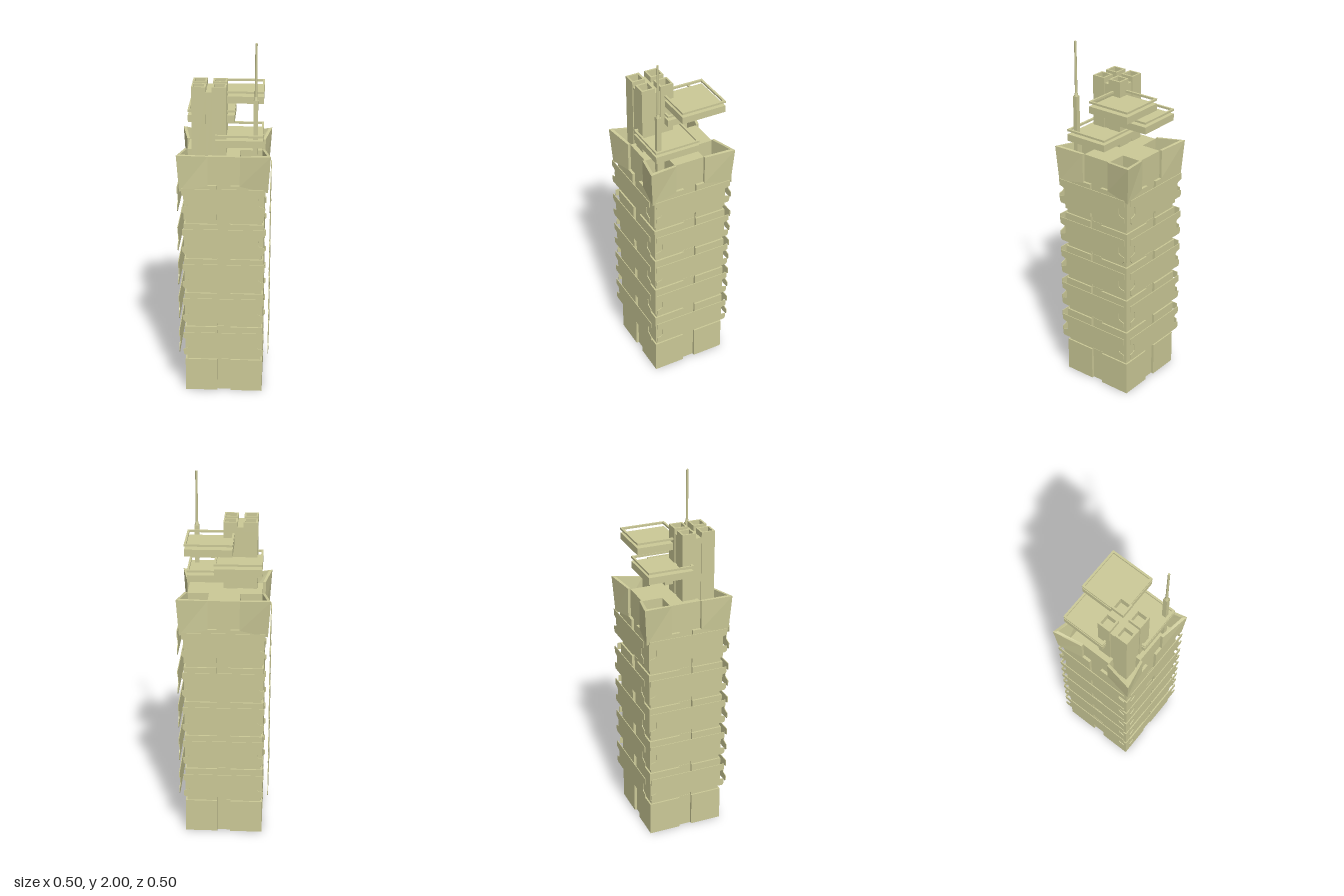
import * as THREE from 'three';

const khaki = new THREE.MeshStandardMaterial({ color: 0xcbc997 });
khaki.name = 'khaki';

function add(parent, name, geometry, x = 0, y = 0, z = 0) {
  const mesh = new THREE.Mesh(geometry, khaki);
  mesh.name = name;
  mesh.position.set(x, y, z);
  parent.add(mesh);
  return mesh;
}

// Box given by its lower and upper corners
function block(parent, name, x0, x1, y0, y1, z0, z1) {
  return add(parent, name, new THREE.BoxGeometry(x1 - x0, y1 - y0, z1 - z0),
    (x0 + x1) / 2, (y0 + y1) / 2, (z0 + z1) / 2);
}

const shapeOf = pts => new THREE.Shape(pts.map(p => new THREE.Vector2(...p)));

// Flat outline raised to height h, standing on y = 0
function raise(shape, h) {
  return new THREE.ExtrudeGeometry(shape, { depth: h, bevelEnabled: false }).rotateX(-Math.PI / 2);
}

// Rectangular ring of wall thickness t
function frame(w, d, h, t) {
  const rect = (a, b) => [[-a, -b], [a, -b], [a, b], [-a, b]];
  const s = shapeOf(rect(w / 2, d / 2));
  s.holes.push(shapeOf(rect(w / 2 - t, d / 2 - t)));
  return raise(s, h);
}

// Square plan with a shallow slot in the middle of each side
function slottedSquare(r, slotHalf, slotFloor) {
  const side = [[-r, -r], [-slotHalf, -r], [-slotHalf, -slotFloor], [slotHalf, -slotFloor], [slotHalf, -r]];
  const pts = [];
  for (let k = 0; k < 4; k++) {
    for (let [x, y] of side) {
      for (let i = 0; i < k; i++) [x, y] = [-y, x];
      pts.push([x, y]);
    }
  }
  return shapeOf(pts);
}

// Cladding plate with a tapered notch in both ends
function panelGeometry() {
  const w = 0.222, n = 0.187, h = 0.07;
  const right = [[w - 0.008, -h], [w, -h + 0.01], [w, -0.034], [n + 0.008, -0.026], [n, -0.018],
    [n, 0.018], [n + 0.008, 0.026], [w, 0.034], [w, h]];
  const left = right.map(([x, y]) => [-x, y]).reverse();
  return new THREE.ExtrudeGeometry(shapeOf([...right, ...left]), { depth: 0.004, bevelEnabled: false });
}

// Flared L-shaped parapet: sections of outer bottom, outer top, inner top, inner bottom
function cornerGeometry() {
  const sections = [
    [[0.085, 1.24, 0.215], [0.085, 1.405, 0.215], [0.085, 1.405, 0.2], [0.085, 1.24, 0.2]],
    [[0.235, 1.215, 0.235], [0.248, 1.42, 0.248], [0.228, 1.42, 0.228], [0.205, 1.215, 0.205]],
    [[0.215, 1.24, 0.085], [0.215, 1.405, 0.085], [0.2, 1.405, 0.085], [0.2, 1.24, 0.085]],
  ];
  const pos = [];
  const quad = (a, b, c, d) => pos.push(...a, ...b, ...c, ...a, ...c, ...d);
  for (let i = 0; i < 2; i++) {
    for (let j = 0; j < 4; j++) {
      const k = (j + 1) % 4;
      quad(sections[i][j], sections[i + 1][j], sections[i + 1][k], sections[i][k]);
    }
  }
  quad(...sections[0]);
  quad(...[...sections[2]].reverse());
  const g = new THREE.BufferGeometry();
  g.setAttribute('position', new THREE.Float32BufferAttribute(pos, 3));
  g.computeVertexNormals();
  return g;
}

export function createModel() {
  const model = new THREE.Group();
  model.name = 'tower';

  // Shaft: stacked slotted blocks separated by narrow recessed joints
  const shaft = new THREE.Group();
  shaft.name = 'shaft';
  model.add(shaft);
  const joints = [[0.196, 0.222], [0.402, 0.429], [0.609, 0.635], [0.815, 0.841], [1.021, 1.048]];
  let base = 0;
  for (const [y0, y1] of joints) {
    add(shaft, 'shaftBlock', raise(slottedSquare(0.215, 0.037, 0.2), y0 - base), 0, base, 0);
    add(shaft, 'shaftJoint', raise(slottedSquare(0.206, 0.037, 0.198), y1 - y0), 0, y0, 0);
    base = y1;
  }
  add(shaft, 'shaftBlock', raise(slottedSquare(0.215, 0.037, 0.2), 1.242 - base), 0, base, 0);

  // Cladding panels and parapet corners, repeated on the four sides
  const panel = panelGeometry();
  const corner = cornerGeometry();
  for (let k = 0; k < 4; k++) {
    const side = new THREE.Group();
    side.name = 'side';
    side.rotation.y = k * Math.PI / 2;
    model.add(side);
    for (const y of [0.312, 0.522, 0.728, 0.934, 1.165]) add(side, 'claddingPanel', panel, 0, y, 0.245);
    add(side, 'parapetCorner', corner);
  }

  // Cross-shaped roof between the four corner pockets
  const c = 0.085, r = 0.2;
  add(model, 'roofDeck', raise(shapeOf([[-c, -r], [c, -r], [c, -c], [r, -c], [r, c], [c, c],
    [c, r], [-c, r], [-c, c], [-r, c], [-r, -c], [-c, -c]]), 0.16), 0, 1.24, 0);

  // Cluster of four hollow-topped posts around a recessed core
  const posts = new THREE.Group();
  posts.name = 'postCluster';
  model.add(posts);
  const cx = -0.079, cz = 0.085;
  for (const sx of [-1, 1]) {
    for (const sz of [-1, 1]) {
      const x = cx + sx * 0.0535, z = cz + sz * 0.0535;
      add(posts, 'post', new THREE.BoxGeometry(0.075, 0.48, 0.075), x, 1.48, z);
      add(posts, 'postRim', frame(0.075, 0.075, 0.05, 0.01), x, 1.72, z);
    }
  }
  block(posts, 'core', cx - 0.086, cx + 0.086, 1.24, 1.74, cz - 0.017, cz + 0.017);
  block(posts, 'core', cx - 0.017, cx + 0.017, 1.24, 1.74, cz - 0.086, cz + 0.086);

  // Landing platforms: slab with a rail frame floating above
  for (const [x, y, z] of [[0.079, 1.645, -0.081], [-0.075, 1.54, -0.08], [0.079, 1.45, 0.071]]) {
    const platform = new THREE.Group();
    platform.name = 'platform';
    platform.position.set(x, y, z);
    model.add(platform);
    add(platform, 'platformSlab', new THREE.BoxGeometry(0.25, 0.038, 0.25), 0, 0.019, 0);
    add(platform, 'platformRail', frame(0.252, 0.252, 0.011, 0.011), 0, 0.055, 0);
  }

  // Antenna
  const antenna = new THREE.Group();
  antenna.name = 'antenna';
  antenna.position.set(0.165, 0, 0.164);
  model.add(antenna);
  block(antenna, 'antennaBase', -0.012, 0.012, 1.24, 1.7, -0.012, 0.012);
  add(antenna, 'antennaCollar', new THREE.CylinderGeometry(0.007, 0.012, 0.02, 8), 0, 1.71, 0);
  add(antenna, 'antennaMast', new THREE.CylinderGeometry(0.006, 0.007, 0.29, 8), 0, 1.855, 0);

  return model;
}
